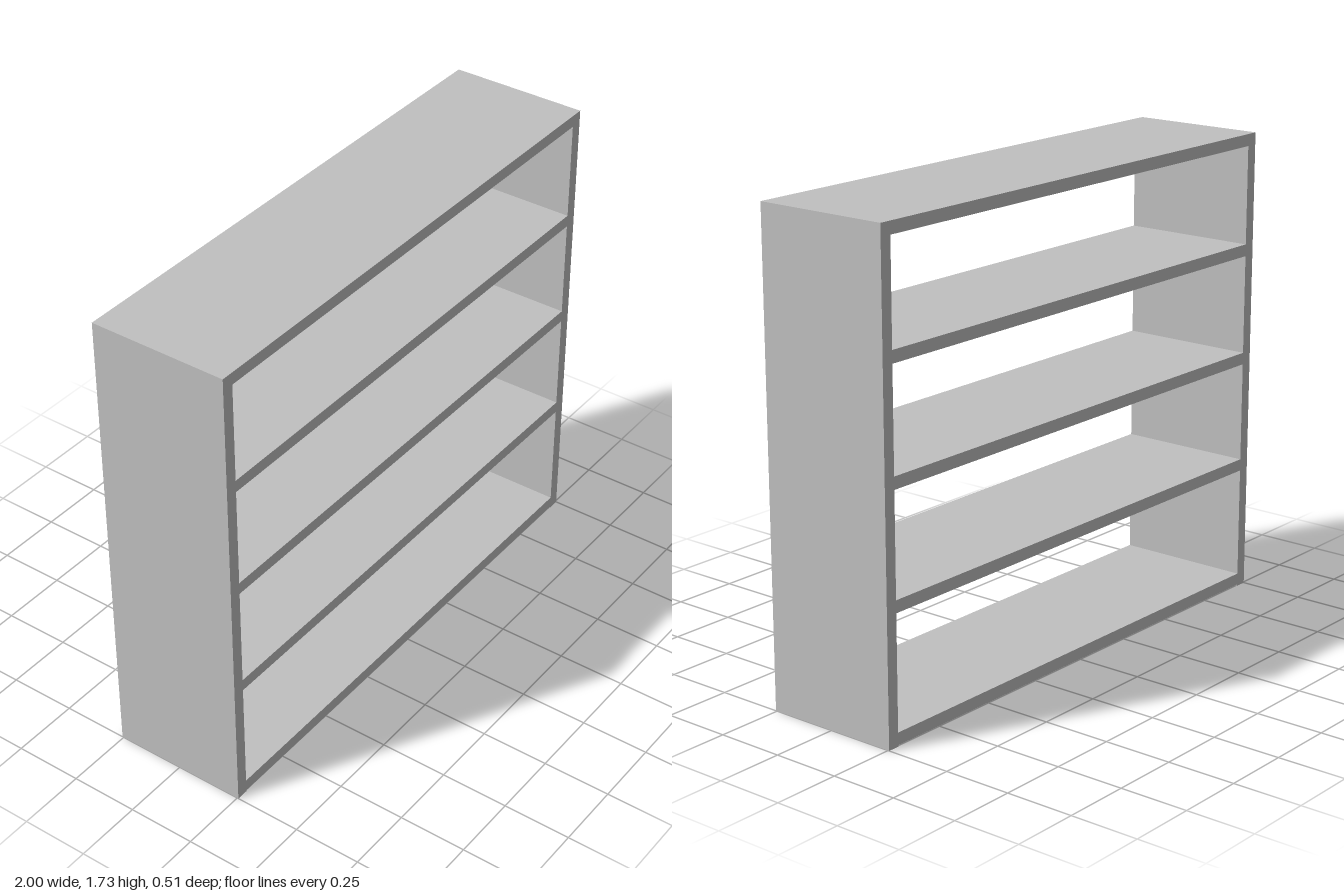
import * as THREE from 'three';

const WIDTH = 2, HEIGHT = 1.73, DEPTH = 0.51, BOARD = 0.044;

export function createModel() {
  const group = new THREE.Group();
  const grey = new THREE.MeshStandardMaterial({ color: 0xc0c0c0 });
  grey.name = 'light grey';

  const addBoard = (name, w, h, x, y) => {
    const mesh = new THREE.Mesh(new THREE.BoxGeometry(w, h, DEPTH), grey);
    mesh.name = name;
    mesh.position.set(x, y, 0);
    group.add(mesh);
  };

  // Upright side panels
  for (const [name, s] of [['leftSide', 1], ['rightSide', -1]]) {
    addBoard(name, BOARD, HEIGHT, s * (WIDTH - BOARD) / 2, HEIGHT / 2);
  }

  // Horizontal boards fitted between the sides, open front and back
  const inner = WIDTH - 2 * BOARD;
  addBoard('bottomPanel', inner, BOARD, 0, 0.005 + BOARD / 2);
  [0.481, 0.893, 1.302].forEach((y, i) => addBoard(`shelf${i + 1}`, inner, BOARD, 0, y));
  addBoard('topPanel', inner, BOARD, 0, HEIGHT - BOARD / 2);

  return group;
}
